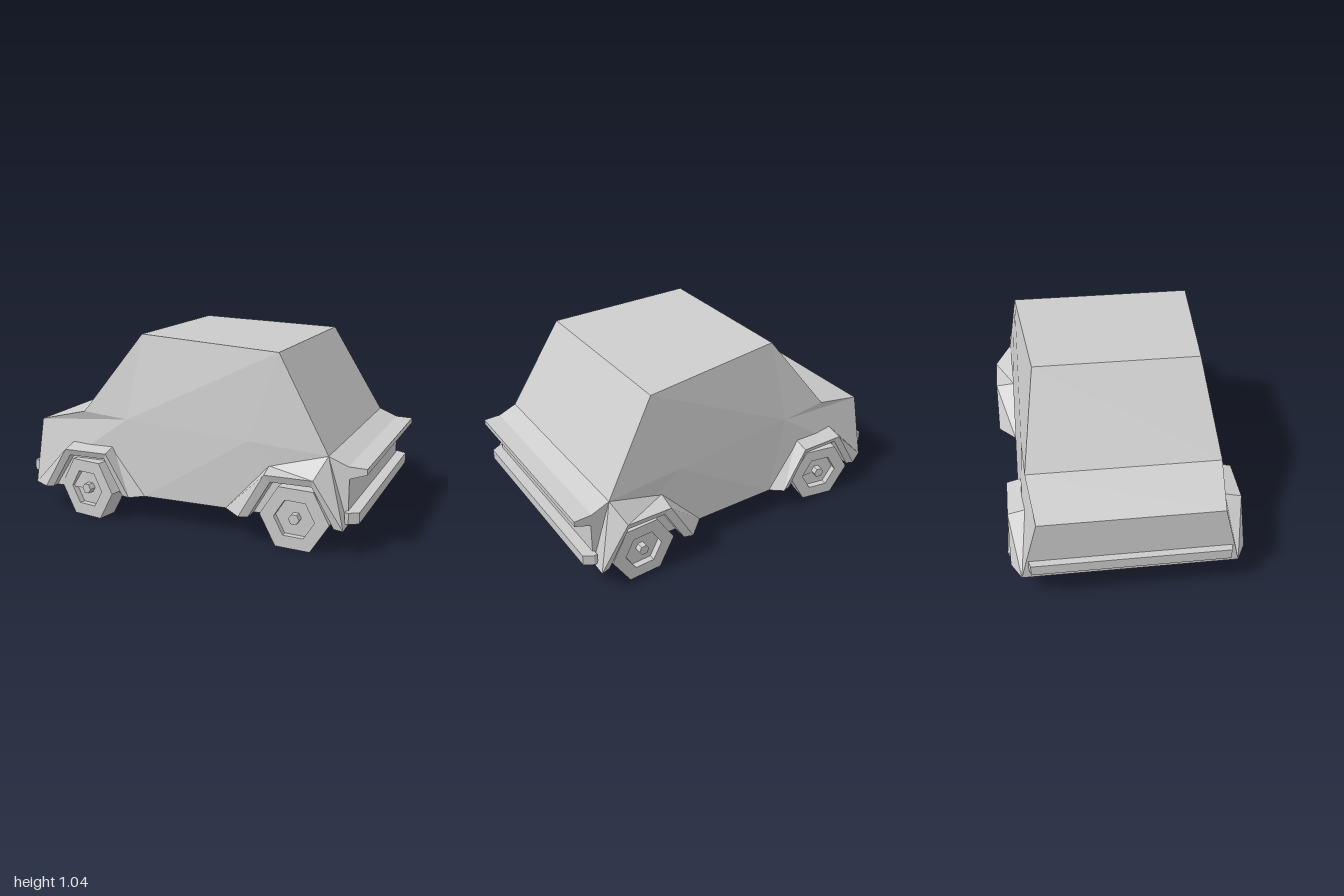
import * as THREE from 'three';

const material = new THREE.MeshStandardMaterial({ color: 0xcccccc, flatShading: true });

function addMesh(parent, name, geometry) {
  const mesh = new THREE.Mesh(geometry, material);
  mesh.name = name;
  parent.add(mesh);
  return mesh;
}

// Collects triangles of [x, y, z] corners into a faceted geometry
function faceted(triangles) {
  const geometry = new THREE.BufferGeometry();
  geometry.setAttribute('position', new THREE.Float32BufferAttribute(triangles.flat(2), 3));
  geometry.computeVertexNormals();
  return geometry;
}

const flip = ([x, y, z]) => [x, y, -z];
const mirrored = (tris) => tris.map(([a, b, c]) => [flip(a), flip(c), flip(b)]);

const polygon = (points) => new THREE.Shape(points.map(([x, y]) => new THREE.Vector2(x, y)));
const extrude = (shape, depth) => new THREE.ExtrudeGeometry(shape, { depth, bevelEnabled: false });

const hexagon = (r) => Array.from({ length: 6 }, (_, i) => {
  const a = i * Math.PI / 3;
  return [r * Math.cos(a), r * Math.sin(a)];
});

// Car shell: outline of the +z side, clockwise from the lower nose
function bodyGeometry() {
  const p = [
    [-0.96, 0.15, 0.58], [-0.96, 0.51, 0.49], [-0.65, 0.59, 0.53], [-0.31, 1.04, 0.455],
    [0.51, 1.0, 0.525], [0.8, 0.5, 0.58], [0.91, 0.455, 0.58], [0.91, 0.15, 0.58],
  ];
  // Belt line and sill points that give the doors their soft bend
  const a = [-0.37, 0.57, 0.54], b = [0.36, 0.53, 0.57];
  const c = [-0.25, 0.15, 0.58], d = [0.24, 0.15, 0.58];
  const side = [
    [p[0], c, a], [p[0], a, p[1]], [p[1], a, p[2]], [p[2], a, p[3]],
    [a, b, p[4]], [a, p[4], p[3]], [c, d, b], [c, b, a],
    [d, p[7], b], [p[7], p[5], b], [p[7], p[6], p[5]], [b, p[5], p[4]],
  ];
  const across = p.flatMap((q, i) => {
    const next = p[(i + 1) % p.length];
    return [[q, next, flip(next)], [q, flip(next), flip(q)]];
  });
  return faceted([...side, ...mirrored(side), ...across]);
}

// Wheel arch: strips between base, outer lip, inner lip and well edge
function archTriangles(base, outer, inner, z) {
  const at = (ring, depth) => ring.map(([x, y]) => [x, y, depth]);
  const rings = [base, at(outer, z), at(inner, z - 0.015), at(inner, 0.5)];
  const tris = [];
  for (let r = 0; r < 3; r++) {
    for (let i = 0; i < 3; i++) {
      const [a, b] = [rings[r], rings[r + 1]];
      tris.push([a[i], b[i], b[i + 1]], [a[i], b[i + 1], a[i + 1]]);
    }
  }
  // Flat feet of the arch
  const [a, b, c, d] = rings.map((ring) => ring[0]);
  const [e, f, g, h] = rings.map((ring) => ring[3]);
  tris.push([a, d, c], [a, c, b], [e, g, h], [e, f, g]);
  return tris;
}

// Six-sided wheel, outer face at z = 0 looking to +z
function makeWheel(name) {
  const wheel = new THREE.Group();
  wheel.name = name;
  const ring = polygon(hexagon(0.187));
  ring.holes.push(polygon(hexagon(0.11).reverse()));
  addMesh(wheel, 'tyre', extrude(ring, 0.035)).position.z = -0.035;
  addMesh(wheel, 'rim', extrude(polygon(hexagon(0.187)), 0.085)).position.z = -0.12;
  addMesh(wheel, 'hub', extrude(polygon(hexagon(0.03)), 0.04)).position.z = -0.036;
  return wheel;
}

// Horizontal bar cut from half of its plan outline, given as [x, z]
function addBumper(parent, name, half, y, height) {
  const plan = [...half, ...half.map(([x, z]) => [x, -z]).reverse()];
  const mesh = addMesh(parent, name, extrude(polygon(plan), height));
  mesh.rotation.x = -Math.PI / 2;
  mesh.position.y = y;
}

export function createModel() {
  const car = new THREE.Group();
  car.name = 'car';
  addMesh(car, 'body', bodyGeometry());

  const frontArch = archTriangles(
    [[-0.96, 0.15, 0.58], [-0.72, 0.41, 0.535], [-0.46, 0.41, 0.545], [-0.25, 0.15, 0.58]],
    [[-0.86, 0.15], [-0.72, 0.385], [-0.46, 0.385], [-0.32, 0.15]],
    [[-0.82, 0.15], [-0.7, 0.35], [-0.48, 0.35], [-0.37, 0.15]], 0.635);
  const rearArch = archTriangles(
    [[0.24, 0.15, 0.58], [0.48, 0.41, 0.57], [0.8, 0.5, 0.58], [0.91, 0.15, 0.58]],
    [[0.35, 0.15], [0.49, 0.393], [0.75, 0.393], [0.912, 0.15]],
    [[0.4, 0.15], [0.52, 0.355], [0.74, 0.355], [0.86, 0.15]], 0.68);

  for (const [side, sign] of [['left', 1], ['right', -1]]) {
    const place = (tris) => faceted(sign > 0 ? tris : mirrored(tris));
    addMesh(car, side + 'FrontArch', place(frontArch));
    addMesh(car, side + 'RearArch', place(rearArch));

    // Front wheels are steered slightly, both the same way
    const turn = sign > 0 ? 0 : Math.PI;
    const front = makeWheel(side + 'FrontWheel');
    front.position.set(-0.6, 0.162, sign * 0.615);
    front.rotation.y = turn - 0.19;
    const rear = makeWheel(side + 'RearWheel');
    rear.position.set(0.647, 0.168, sign * 0.655);
    rear.rotation.set(0, turn, -0.04 * sign);
    car.add(front, rear);
  }

  addBumper(car, 'frontBumper', [[-1, 0.53], [-0.945, 0.545]], 0.205, 0.06);
  addBumper(car, 'rearBumper', [[0.9, 0.615], [0.92, 0.615], [0.97, 0.585]], 0.167, 0.06);

  // Lip across the tail
  const lip = polygon([[0.9, 0.458], [0.9, 0.39], [1, 0.425], [1, 0.455]]);
  addMesh(car, 'rearSpoiler', extrude(lip, 1.16)).position.z = -0.58;
  return car;
}
